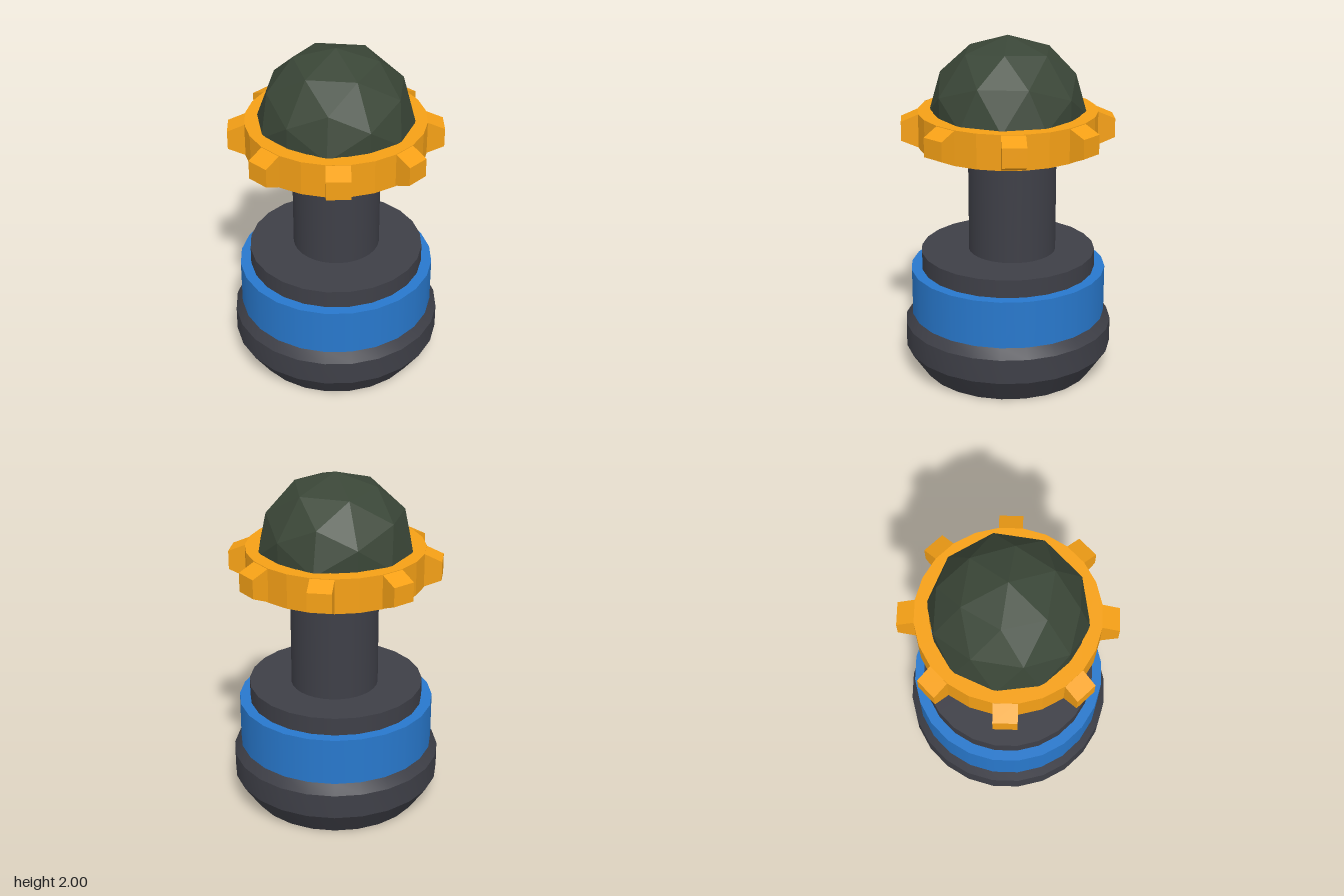
import * as THREE from 'three';
import { toCreasedNormals } from 'three/addons/utils/BufferGeometryUtils.js';

const SIDES = 24;
const mat = (color, flatShading = false) => new THREE.MeshStandardMaterial({ color, flatShading });

export function createModel() {
  const model = new THREE.Group();
  const dark = mat(0x3e3f47);
  const blue = mat(0x2878cc);
  const orange = mat(0xf5a016, true);
  const green = mat(0x3a4637, true);

  const add = (name, geometry, material, parent = model) => {
    const mesh = new THREE.Mesh(geometry, material);
    mesh.name = name;
    parent.add(mesh);
    return mesh;
  };
  const cylinder = (name, r, y0, y1, material, sides = SIDES) => {
    const mesh = add(name, new THREE.CylinderGeometry(r, r, y1 - y0, sides), material);
    mesh.position.y = (y0 + y1) / 2;
    return mesh;
  };

  // Foot with bevelled edges and a round recess underneath
  const profile = [
    [0, 0.345], [0.385, 0.345], [0.385, 0], [0.51, 0],
    [0.61, 0.15], [0.61, 0.295], [0.568, 0.355], [0.5, 0.355],
  ].map(([x, y]) => new THREE.Vector2(x, y));
  add('foot', toCreasedNormals(new THREE.LatheGeometry(profile, SIDES), Math.PI / 7), dark);

  // Stacked band, collar and shaft (the shaft sits slightly back)
  cylinder('band', 0.57, 0.35, 0.63, blue);
  cylinder('collar', 0.508, 0.6, 0.735, dark);
  cylinder('shaft', 0.254, 0.7, 1.56, dark, 32).position.z = -0.025;

  // Toothed ring: a faceted annulus with a tooth on every third face
  const gear = new THREE.Group();
  gear.name = 'toothedRing';
  gear.position.y = 1.472;
  model.add(gear);

  const H = 0.2;
  const polygon = (r) => Array.from({ length: SIDES }, (_, i) => {
    const a = (i / SIDES) * Math.PI * 2;
    return new THREE.Vector2(r * Math.cos(a), r * Math.sin(a));
  });
  const outline = new THREE.Shape(polygon(0.512));
  outline.holes.push(new THREE.Path(polygon(0.428)));
  const ring = new THREE.ExtrudeGeometry(outline, { depth: H, bevelEnabled: false });
  ring.translate(0, 0, -H / 2).rotateX(-Math.PI / 2);
  add('ring', ring, orange, gear);

  // Tooth: a box whose outer end narrows in height
  const tooth = new THREE.BoxGeometry(0.134, H, 0.105).translate(0, 0, 0.5525);
  const p = tooth.attributes.position;
  for (let i = 0; i < p.count; i++) {
    if (p.getZ(i) > 0.55) p.setY(i, p.getY(i) * 0.55);
  }
  for (let i = 0; i < 8; i++) {
    add('tooth', tooth, orange, gear).rotation.y = ((i * 3 + 0.5) / SIDES) * Math.PI * 2;
  }

  // Faceted dome: upper half of a subdivided icosahedron, flattened underneath
  const dome = new THREE.IcosahedronGeometry(0.45, 1);
  const d = dome.attributes.position;
  for (let i = 0; i < d.count; i++) d.setY(i, Math.max(0, d.getY(i)));
  dome.computeVertexNormals();
  add('dome', dome, green).position.y = 1.55;

  return model;
}
